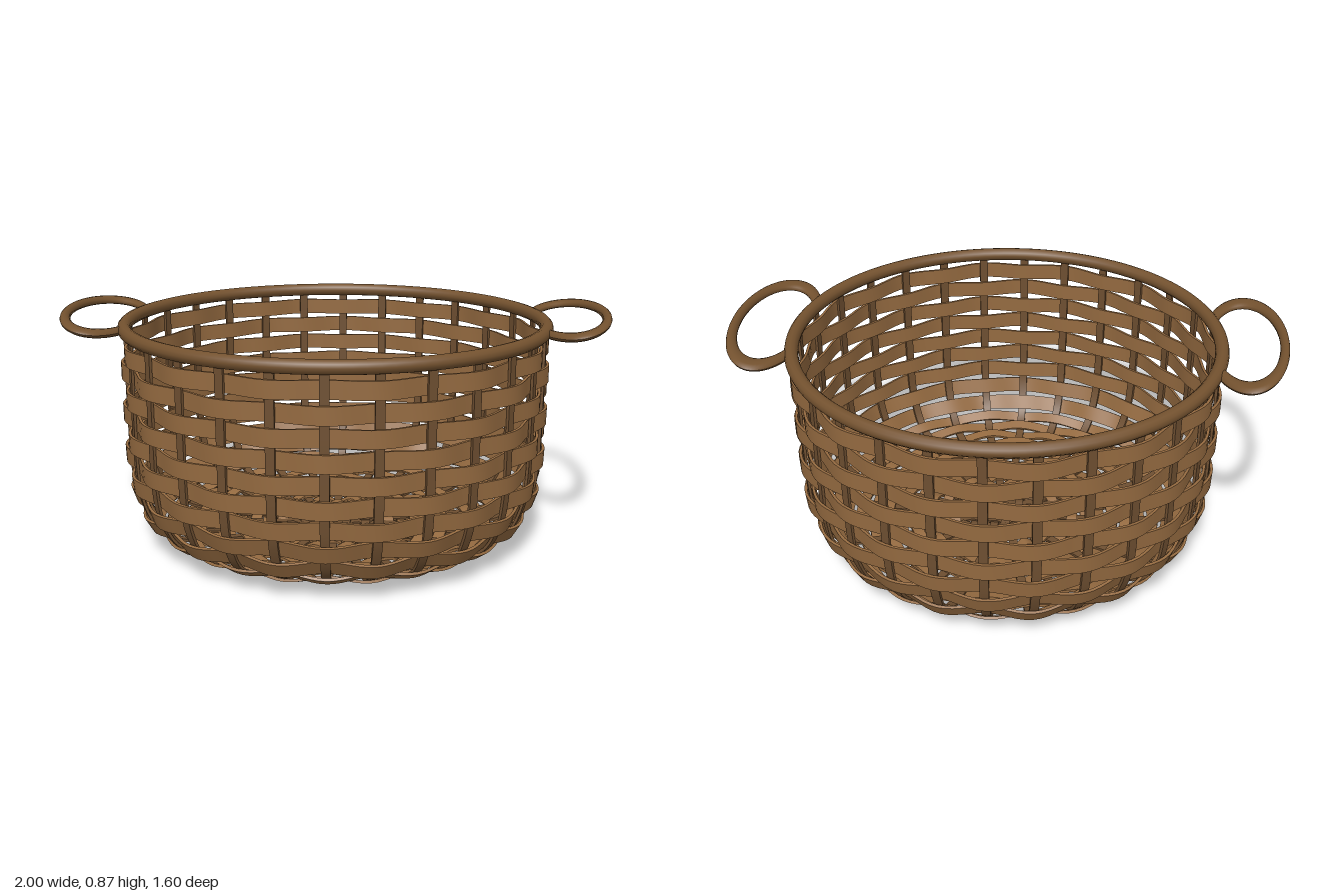
import * as THREE from 'three';

const STAKES = 28;
const HUB = 0.19; // radius where the straight centre strips start to fan out
const mat = (color) => new THREE.MeshStandardMaterial({ color, roughness: 0.85 });

// Basket profile (radius, height) from the centre of the base up to the rim
const profile = new THREE.CatmullRomCurve3(
  [[0, 0.018], [0.3, 0.02], [0.5, 0.028], [0.62, 0.048], [0.7, 0.1], [0.75, 0.2], [0.767, 0.3], [0.772, 0.5], [0.772, 0.82]]
    .map(([r, y]) => new THREE.Vector3(r, y, 0)));
profile.arcLengthDivisions = 400;
const LENGTH = profile.getLength();

// Point and outward normal of the profile at a distance from the centre
function profileAt(d) {
  const u = THREE.MathUtils.clamp(d / LENGTH, 0, 1);
  const p = profile.getPointAt(u), t = profile.getTangentAt(u);
  return { r: Math.max(p.x, 0), y: p.y, nr: t.y, ny: -t.x };
}

// Flat strip with crisp edges swept along frames { p, n, t }
function strip(frames, halfWidth, halfThick, closed) {
  const pos = [], index = [];
  const corners = [[1, 1], [-1, 1], [-1, -1], [1, -1]];
  for (const { p, n, t } of frames) {
    const side = n.clone().cross(t).normalize();
    for (let f = 0; f < 4; f++) {
      for (const [a, b] of [corners[f], corners[(f + 1) % 4]]) {
        const v = p.clone().addScaledVector(side, a * halfWidth).addScaledVector(n, b * halfThick);
        pos.push(v.x, v.y, v.z);
      }
    }
  }
  const count = frames.length;
  for (let i = 0; i < (closed ? count : count - 1); i++) {
    const j = (i + 1) % count;
    for (let f = 0; f < 8; f += 2) {
      const a = i * 8 + f, b = j * 8 + f;
      index.push(a, a + 1, b + 1, a, b + 1, b);
    }
  }
  const g = new THREE.BufferGeometry();
  g.setAttribute('position', new THREE.Float32BufferAttribute(pos, 3));
  g.setIndex(index);
  g.computeVertexNormals();
  return g;
}

// Horizontal weaver passing in front of and behind alternate stakes
function weaver(fromTop, row, halfWidth, amp) {
  const { r, y, nr, ny } = profileAt(LENGTH - fromTop);
  const frames = [], steps = STAKES * 6;
  for (let i = 0; i < steps; i++) {
    const a = (i / steps) * Math.PI * 2, c = Math.cos(a), s = Math.sin(a);
    const n = new THREE.Vector3(c * nr, ny, s * nr);
    const wave = amp * Math.cos(a * STAKES / 2 + row * Math.PI);
    frames.push({ p: new THREE.Vector3(c * r, y, s * r).addScaledVector(n, wave), n, t: new THREE.Vector3(-s, 0, c) });
  }
  return strip(frames, halfWidth, 0.005, true);
}

// Stake running up one wall, across the base and up the opposite wall
function stake(k, alongX) {
  const a = (k / STAKES) * Math.PI * 2, steps = 160;
  const pitch = HUB * Math.sin(Math.PI * 2 / STAKES);
  const frames = [];
  for (let i = 0; i <= steps; i++) {
    const v = (i / steps) * 2 - 1;
    const { r, y, nr, ny } = profileAt(Math.abs(v) * LENGTH);
    const along = Math.sign(v) * r * Math.cos(a);
    const across = Math.max(r, HUB) * Math.sin(a);
    const len = Math.hypot(along, across) || 1;
    // over-and-under crossing in the hub
    const weave = r < HUB ? 0.006 * Math.cos(Math.PI * (along / pitch + k)) * (alongX ? 1 : -1) : 0;
    const place = (l, h, w) => alongX ? new THREE.Vector3(l, h, w) : new THREE.Vector3(w, h, l);
    frames.push({ p: place(along, y + weave, across), n: place(along / len * nr, ny, across / len * nr) });
  }
  frames.forEach((f, i) => {
    const next = frames[Math.min(i + 1, steps)].p, prev = frames[Math.max(i - 1, 0)].p;
    f.t = next.clone().sub(prev).normalize();
  });
  return strip(frames, 0.016, 0.005, false);
}

// Oval loop, wider at its ends, bent upward away from the rim
function handleGeometry() {
  const arc = THREE.MathUtils.degToRad(284);
  const g = new THREE.TorusGeometry(1, 0.12, 12, 64, arc);
  g.rotateZ(-arc / 2);
  g.rotateX(Math.PI / 2);
  g.scale(0.13, 0.125, 0.33);
  g.translate(0.855, 0, 0);
  const p = g.attributes.position;
  for (let i = 0; i < p.count; i++) {
    const out = Math.max(0, (p.getX(i) - 0.74) / 0.26);
    p.setY(i, p.getY(i) + 0.815 + 0.048 * out ** 1.4);
  }
  g.computeVertexNormals();
  return g;
}

export function createModel() {
  const basket = new THREE.Group();
  basket.name = 'basket';
  const weaverMat = mat(0x946a40), stakeMat = mat(0x6e4f31), rimMat = mat(0x74522f);
  const add = (parent, name, geometry, material) => {
    const m = new THREE.Mesh(geometry, material);
    m.name = name;
    parent.add(m);
    return m;
  };
  const group = (name) => {
    const g = new THREE.Group();
    g.name = name;
    basket.add(g);
    return g;
  };

  // Wall weavers
  const wall = group('wallWeavers');
  for (let i = 0; i < 9; i++) add(wall, 'wallWeaver', weaver(0.078 * (i + 1), i, 0.031, 0.013), weaverMat);

  // Corner and base weavers, down to the hub
  const base = group('baseWeavers');
  for (let i = 0, d = 0.768; LENGTH - d > HUB + 0.01; i++, d += 0.053) {
    add(base, 'baseWeaver', weaver(d, i + 9, 0.021, 0.01), weaverMat);
  }

  // Two crossing sets of stakes
  const stakes = group('stakes');
  for (const alongX of [true, false]) {
    for (let k = -3; k <= 3; k++) add(stakes, 'stake', stake(k, alongX), stakeMat);
  }

  // Rim
  const rim = add(basket, 'rim', new THREE.TorusGeometry(0.773, 0.025, 12, 112), rimMat);
  rim.rotation.x = Math.PI / 2;
  rim.position.y = 0.816;

  // Handles
  const handle = handleGeometry();
  add(basket, 'leftHandle', handle, rimMat);
  add(basket, 'rightHandle', handle, rimMat).rotation.y = Math.PI;

  return basket;
}
